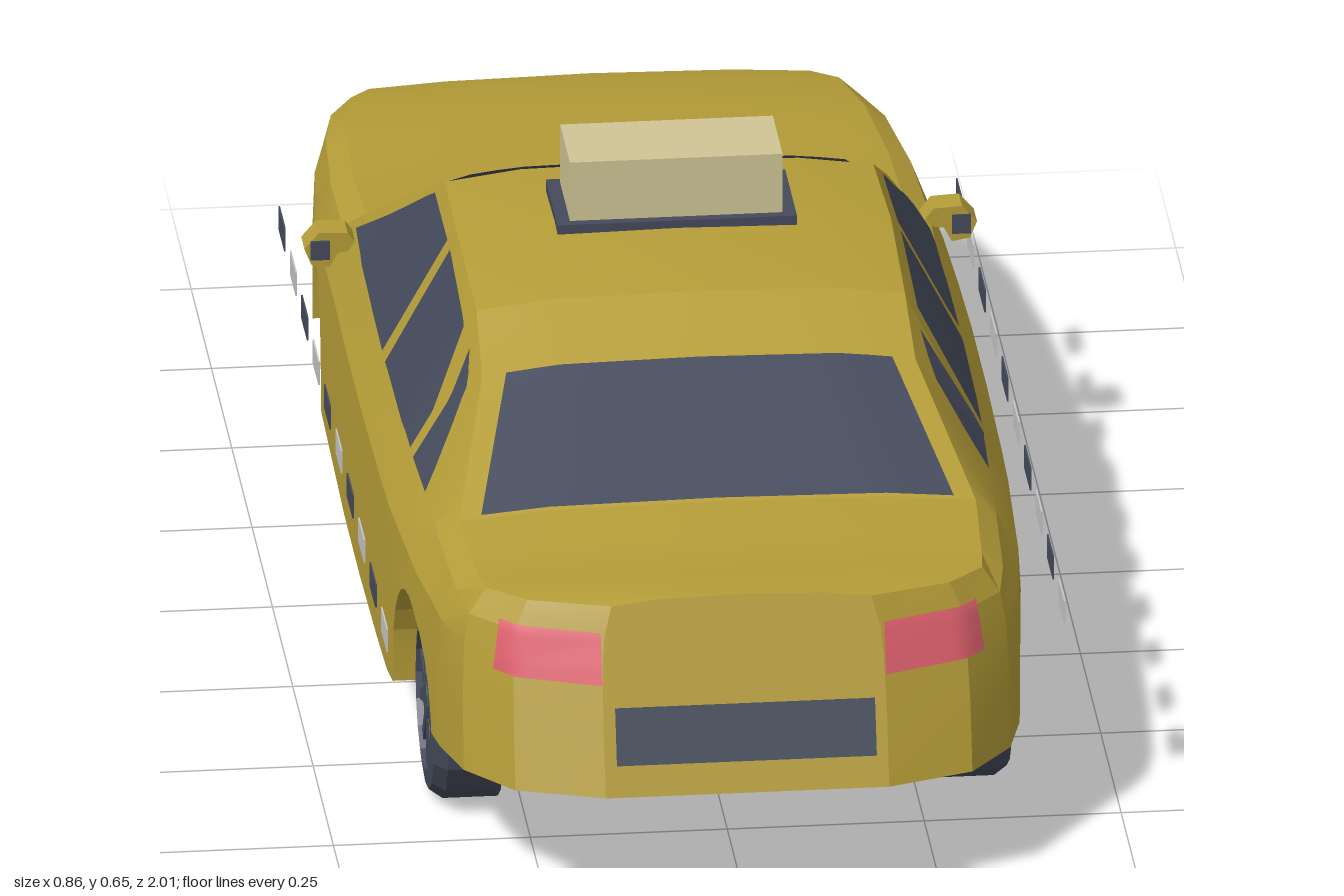
import * as THREE from 'three';
import { toCreasedNormals } from 'three/addons/utils/BufferGeometryUtils.js';

const mat = (name, color, side = THREE.FrontSide) => {
  const m = new THREE.MeshStandardMaterial({ color, side });
  m.name = name;
  return m;
};
const paint = mat('yellow paint', 0xb59d38, THREE.DoubleSide);
const dark = mat('dark slate', 0x454b5c, THREE.DoubleSide);
const gap = mat('wheel shadow grey', 0x2f333f);
const red = mat('tail light red', 0xdf616e, THREE.DoubleSide);
const white = mat('light grey', 0xc6c6c9, THREE.DoubleSide);
const beige = mat('sign beige', 0xd0c596);

const WHEELS = [0.59, -0.56], ARCH = 0.14, AXLE = 0.127;
const { clamp, lerp } = THREE.MathUtils;

// Body stations: z, half width, shoulder x y, upper edge x y, centre y
const KEYS = [
  [-1, .2, .19, .19, .17, .205, .21],
  [-.985, .27, .26, .24, .23, .262, .272],
  [-.95, .32, .31, .265, .28, .288, .297],
  [-.88, .348, .335, .285, .31, .308, .318],
  [-.75, .372, .355, .31, .33, .325, .335],
  [-.56, .39, .368, .33, .34, .343, .352],
  [-.4, .396, .37, .345, .34, .36, .368],
  [-.24, .398, .367, .358, .305, .455, .468],
  [-.09, .4, .366, .362, .272, .537, .553],
  [.1, .4, .366, .363, .275, .545, .563],
  [.3, .398, .364, .364, .272, .53, .545],
  [.4, .396, .362, .365, .275, .483, .498],
  [.63, .385, .354, .365, .328, .387, .4],
  [.78, .368, .347, .36, .32, .38, .39],
  [.87, .347, .337, .352, .315, .385, .396],
  [.955, .29, .285, .352, .268, .388, .399],
  [1, .18, .175, .355, .165, .391, .4],
];

function station(z) {
  let i = 0;
  while (i < KEYS.length - 2 && z > KEYS[i + 1][0]) i++;
  const a = KEYS[i], b = KEYS[i + 1], t = (z - a[0]) / (b[0] - a[0]);
  return a.map((v, k) => lerp(v, b[k], t));
}

// One closed ring around the body, with the wheel arch cut into its lower edge
function ring(z) {
  const [, w, xs, ys, xr, yr, yc] = station(z);
  // the floor rises behind the rear axle and the tail leans forward at the top
  const b = .085 + .055 * clamp((z - .42) / .3, 0, 1) + .02 * clamp((z - .72) / .28, 0, 1);
  const tilt = .33 * clamp((z - .78) / .19, 0, 1);
  let a = b;
  for (const c of WHEELS) {
    const d = Math.abs(z - c);
    if (d <= ARCH + 1e-6) a = Math.max(b, AXLE + Math.sqrt(Math.max(0, ARCH * ARCH - d * d)));
  }
  const wi = Math.min(.265, w * .8);
  const half = [[0, b], [wi, b], [wi, a], [w, a], [w, Math.max(a, lerp(b, ys, .45))],
    [w * .992, lerp(b, ys, .8)], [xs, ys], [xr, yr], [xr * .65, yc - .003], [0, yc]];
  const all = [...half, ...half.slice(1, -1).reverse().map(([x, y]) => [-x, y])];
  return all.map(([x, y]) => [x, y, z - tilt * (y - .16)]);
}

function bodyGeometry() {
  const zs = KEYS.map(k => k[0]);
  for (const c of WHEELS) {
    for (let k = 0; k <= 12; k++) zs.push(c + ARCH * Math.cos(k * Math.PI / 12));
    zs.push(c + ARCH + .001, c - ARCH - .001);
  }
  zs.sort((p, q) => p - q);
  const rings = zs.filter((z, i) => !i || z - zs[i - 1] > 1e-5).map(ring);
  const n = rings[0].length, pos = rings.flat(2), idx = [];
  for (let i = 0; i < rings.length - 1; i++) for (let j = 0; j < n; j++) {
    const k = (j + 1) % n, A = i * n + j, B = i * n + k, C = B + n, D = A + n;
    idx.push(A, B, D, B, C, D);
  }
  // nose and tail caps
  [0, rings.length - 1].forEach((r, end) => {
    const c = pos.length / 3, p = rings[r];
    pos.push(0, (p[0][1] + p[9][1]) / 2, (p[0][2] + p[9][2]) / 2);
    for (let j = 0; j < n; j++) {
      const A = r * n + j, B = r * n + (j + 1) % n;
      idx.push(c, ...(end ? [A, B] : [B, A]));
    }
  });
  const g = new THREE.BufferGeometry();
  g.setAttribute('position', new THREE.Float32BufferAttribute(pos, 3));
  g.setIndex(idx);
  return toCreasedNormals(g, 0.25);
}

// Thin panel pressed onto the body: corners are [u, v] on the plane facing `axis`
function panel(body, name, material, axis, sign, corners, n = 10) {
  const ray = new THREE.Raycaster(), pos = [], idx = [];
  const [u, v] = ['x', 'y', 'z'].filter(k => k !== axis);
  const dir = new THREE.Vector3();
  dir[axis] = -sign;
  let last = 0;
  for (let i = 0; i <= n; i++) for (let j = 0; j <= n; j++) {
    const s = i / n, t = j / n, o = new THREE.Vector3();
    const mix = k => lerp(lerp(corners[0][k], corners[1][k], s), lerp(corners[3][k], corners[2][k], s), t);
    o[u] = mix(0) + 1e-5;
    o[v] = mix(1) + 1e-5;
    o[axis] = sign * 2;
    ray.set(o, dir);
    const hit = ray.intersectObject(body)[0];
    if (hit) last = hit.point[axis] + sign * .005;
    o[axis] = last;
    pos.push(o.x, o.y, o.z);
    if (i < n && j < n) {
      const A = i * (n + 1) + j, B = A + n + 1;
      idx.push(A, B, A + 1, B, B + 1, A + 1);
    }
  }
  const g = new THREE.BufferGeometry();
  g.setAttribute('position', new THREE.Float32BufferAttribute(pos, 3));
  g.setIndex(idx);
  g.computeVertexNormals();
  return named(new THREE.Mesh(g, material), name);
}

function named(o, name) { o.name = name; return o; }

function box(name, material, size, at) {
  const m = named(new THREE.Mesh(new THREE.BoxGeometry(...size), material), name);
  m.position.set(...at);
  return m;
}

// Wheel with its axle along x, outer face towards +x
function wheel() {
  const g = named(new THREE.Group(), 'wheel');
  const lathe = (pts, sides) => toCreasedNormals(
    new THREE.LatheGeometry(pts.map(p => new THREE.Vector2(...p)), sides).rotateZ(-Math.PI / 2), 0.3);
  g.add(named(new THREE.Mesh(lathe([[0, -.045], [.125, -.045], [.125, .025], [.113, .042],
    [.09, .045], [.086, .03]], 16), dark), 'tire'));
  g.add(named(new THREE.Mesh(lathe([[.088, .03], [0, .03]], 16), gap), 'rimBack'));
  g.add(named(new THREE.Mesh(lathe([[.024, .03], [.024, .042], [0, .044]], 10), dark), 'hub'));
  for (let i = 0; i < 10; i++) {
    const spoke = named(new THREE.Group(), 'spoke');
    spoke.add(box('spokeBar', dark, [.01, .066, .016], [.035, .055, 0]));
    spoke.rotation.x = i * Math.PI / 5;
    g.add(spoke);
  }
  return g;
}

export function createModel() {
  const car = named(new THREE.Group(), 'taxi');
  const body = named(new THREE.Mesh(bodyGeometry(), paint), 'body');
  car.add(body);

  // glass and plates
  car.add(panel(body, 'windshield', dark, 'y', 1, [[-.322, -.385], [.322, -.385], [.238, -.105], [-.238, -.105]], 14));
  car.add(panel(body, 'rearWindow', dark, 'y', 1, [[-.245, .405], [.245, .405], [.3, .63], [-.3, .63]], 14));
  car.add(panel(body, 'rearPlate', dark, 'z', 1, [[-.165, .2], [.165, .2], [.165, .27], [-.165, .27]]));
  car.add(panel(body, 'frontPlate', dark, 'z', -1, [[-.14, .115], [.14, .115], [.14, .175], [-.14, .175]]));
  for (const s of [1, -1]) {
    // side windows, with corners given as [y, z]
    car.add(panel(body, 'frontDoorWindow', dark, 'x', s, [[.372, .055], [.372, -.33], [.523, -.09], [.532, .08]]));
    car.add(panel(body, 'rearDoorWindow', dark, 'x', s, [[.372, .36], [.372, .09], [.532, .11], [.51, .3]]));
    car.add(panel(body, 'quarterWindow', dark, 'x', s, [[.372, .5], [.372, .39], [.498, .342], [.475, .375]]));

    // lamps
    car.add(panel(body, 'tailLight', red, 'z', 1, [[s * .18, .297], [s * .312, .297], [s * .303, .36], [s * .18, .36]]));
    car.add(panel(body, 'headlight', white, 'z', -1, [[s * .2, .205], [s * .336, .212], [s * .33, .255], [s * .215, .235]]));

    // checker strip standing just off the doors
    for (let i = 0; i < 10; i++) {
      car.add(box('checker', i % 2 ? dark : white, [.002, .032, .07], [s * .43, .273, .7 - i * .14]));
    }

    // wheels
    for (const z of WHEELS) {
      const w = wheel();
      w.position.set(s * .325, .125, z);
      if (s < 0) w.rotation.y = Math.PI;
      car.add(w);
    }

    // door mirror
    const outline = new THREE.Shape([[.355, .35], [.385, .345], [.395, .326], [.418, .33], [.427, .352],
      [.408, .374], [.372, .372]].map(p => new THREE.Vector2(...p)));
    const mirror = named(new THREE.Group(), 'doorMirror');
    const shell = new THREE.ExtrudeGeometry(outline, { depth: .04, bevelEnabled: false });
    mirror.add(named(new THREE.Mesh(shell, paint), 'mirrorShell'));
    mirror.add(box('mirrorGlass', dark, [.024, .026, .003], [.407, .35, .041]));
    mirror.position.z = -.355;
    mirror.scale.x = s;
    car.add(mirror);
  }

  // roof sign
  car.add(box('signBase', dark, [.304, .014, .145], [0, .563, .0625]));
  car.add(box('sign', beige, [.27, .083, .12], [0, .609, .0625]));
  return car;
}
